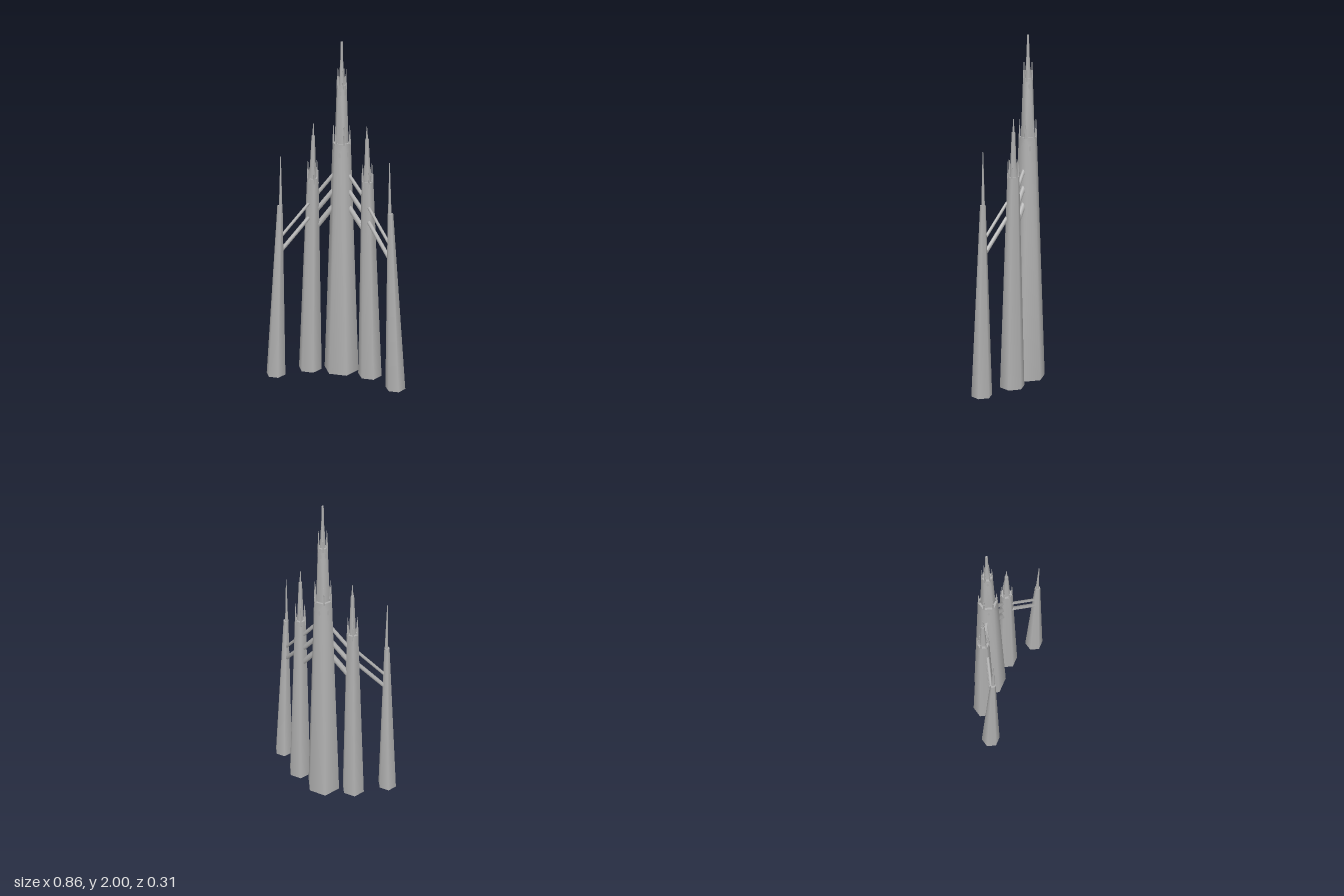
import * as THREE from 'three';

const stone = new THREE.MeshStandardMaterial({ color: 0xb0b0b0, side: THREE.DoubleSide });
stone.name = 'grey stone';

const add = (parent, name, geometry) => {
  const mesh = new THREE.Mesh(geometry, stone);
  mesh.name = name;
  parent.add(mesh);
  return mesh;
};

// Tapered six-sided shaft from a to b, each {x, y, z, r}; it may lean
function shaft(parent, name, a, b, sides = 6) {
  const h = b.y - a.y;
  const g = new THREE.CylinderGeometry(b.r, a.r, h, sides, 1, false, Math.PI / 6);
  g.translate(0, h / 2, 0);
  const p = g.attributes.position;
  for (let i = 0; i < p.count; i++) {
    const t = p.getY(i) / h;
    p.setXYZ(i, p.getX(i) + a.x + (b.x - a.x) * t, p.getY(i) + a.y, p.getZ(i) + a.z + (b.z - a.z) * t);
  }
  return add(parent, name, g);
}

// Hollow six-sided shaft with an oval window opening through every face
function windowedShaft(parent, name, z, y0, y1, r0, r1, windowY, halfWidth, halfHeight) {
  const group = new THREE.Group();
  group.name = name;
  parent.add(group);
  const shape = new THREE.Shape([[-1, y0], [1, y0], [1, y1], [-1, y1]].map(c => new THREE.Vector2(...c)));
  const hole = new THREE.Path();
  hole.absellipse(0, windowY, halfWidth, halfHeight, 0, Math.PI * 2, true);
  shape.holes.push(hole);
  for (let k = 0; k < 6; k++) {
    const a = k * Math.PI / 3, s = Math.sin(a), c = Math.cos(a);
    const g = new THREE.ShapeGeometry(shape, 8);
    const p = g.attributes.position, n = g.attributes.normal;
    for (let i = 0; i < p.count; i++) {
      const y = p.getY(i);
      const r = r0 + (r1 - r0) * (y - y0) / (y1 - y0);
      const u = p.getX(i) * r / 2, d = r * Math.sqrt(3) / 2;
      const x = s * d + c * u, w = c * d - s * u, len = Math.hypot(x, w);
      p.setXYZ(i, x, y, w + z);
      n.setXYZ(i, x / len, (r0 - r1) / (y1 - y0), w / len);
    }
    g.normalizeNormals();
    add(group, 'windowedWall', g);
  }
  for (const [y, r, turn] of [[y0, r0, Math.PI / 2], [y1, r1, -Math.PI / 2]]) {
    const cap = add(group, 'cap', new THREE.CircleGeometry(r, 6));
    cap.rotation.x = turn;
    cap.position.set(0, y, z);
  }
}

// Ring of slim pinnacles at the corners of a tower top
function crown(parent, x, z, ring, y0, y1, r) {
  const group = new THREE.Group();
  group.name = 'pinnacleCrown';
  parent.add(group);
  for (let k = 0; k < 6; k++) {
    const a = k * Math.PI / 3;
    const px = x + Math.cos(a) * ring, pz = z + Math.sin(a) * ring;
    const mid = y0 + (y1 - y0) * 0.6;
    shaft(group, 'pinnacleBase', { x: px, y: y0, z: pz, r }, { x: px, y: mid, z: pz, r: r * 0.65 });
    shaft(group, 'pinnacleTip', { x: px, y: mid, z: pz, r: r * 0.45 }, { x: px, y: y1, z: pz, r: r * 0.2 });
  }
}

// Round sloping strut between two points
function strut(parent, from, to, r) {
  const a = new THREE.Vector3(...from), b = new THREE.Vector3(...to);
  const mesh = add(parent, 'strut', new THREE.CylinderGeometry(r, r, a.distanceTo(b), 8));
  mesh.position.copy(a).lerp(b, 0.5);
  mesh.quaternion.setFromUnitVectors(new THREE.Vector3(0, 1, 0), b.sub(a).normalize());
}

export function createModel() {
  const model = new THREE.Group();
  model.name = 'spiredTowers';

  // Central tower in two stages, with spire and crowns
  const cz = -0.065;
  const central = new THREE.Group();
  central.name = 'centralTower';
  model.add(central);
  windowedShaft(central, 'lowerStage', cz, 0, 1.43, 0.108, 0.054, 1.365, 0.24, 0.016);
  windowedShaft(central, 'upperStage', cz, 1.43, 1.76, 0.041, 0.029, 1.715, 0.42, 0.014);
  crown(central, 0, cz, 0.048, 1.40, 1.53, 0.007);
  crown(central, 0, cz, 0.025, 1.74, 1.85, 0.005);
  shaft(central, 'spire', { x: 0, y: 1.76, z: cz, r: 0.017 }, { x: 0, y: 1.88, z: cz, r: 0.01 });
  shaft(central, 'spireTip', { x: 0, y: 1.88, z: cz, r: 0.009 }, { x: 0, y: 2, z: cz, r: 0.006 });

  for (const s of [1, -1]) {
    const side = new THREE.Group();
    side.name = s > 0 ? 'leftSide' : 'rightSide';
    model.add(side);
    const at = (x, y, z, r) => ({ x: s * x, y, z, r });

    // Middle tower
    shaft(side, 'middleTower', at(0.189, 0, -0.024, 0.073), at(0.162, 1.22, -0.024, 0.035));
    crown(side, s * 0.162, -0.024, 0.03, 1.19, 1.32, 0.006);
    shaft(side, 'middleSpire', at(0.162, 1.22, -0.024, 0.021), at(0.157, 1.47, -0.024, 0.01));
    shaft(side, 'middleSpireTip', at(0.157, 1.47, -0.024, 0.006), at(0.155, 1.54, -0.024, 0.002));

    // Outer tower
    shaft(side, 'outerTower', at(0.371, 0, 0.103, 0.06), at(0.323, 1.08, 0.104, 0.016));
    shaft(side, 'outerSpire', at(0.319, 1.08, 0.104, 0.01), at(0.313, 1.37, 0.105, 0.002));

    // Struts from middle to centre
    for (const [y0, y1, r] of [[1.115, 1.25, 0.011], [1.02, 1.155, 0.014], [0.92, 1.06, 0.016]])
      strut(side, [s * 0.147, y0, -0.03], [s * 0.04, y1, -0.056], r);

    // Struts from outer to middle
    for (const [y0, y1, r] of [[0.89, 1.075, 0.009], [0.805, 0.99, 0.012]])
      strut(side, [s * 0.322, y0, 0.096], [s * 0.178, y1, 0.008], r);
  }
  return model;
}
